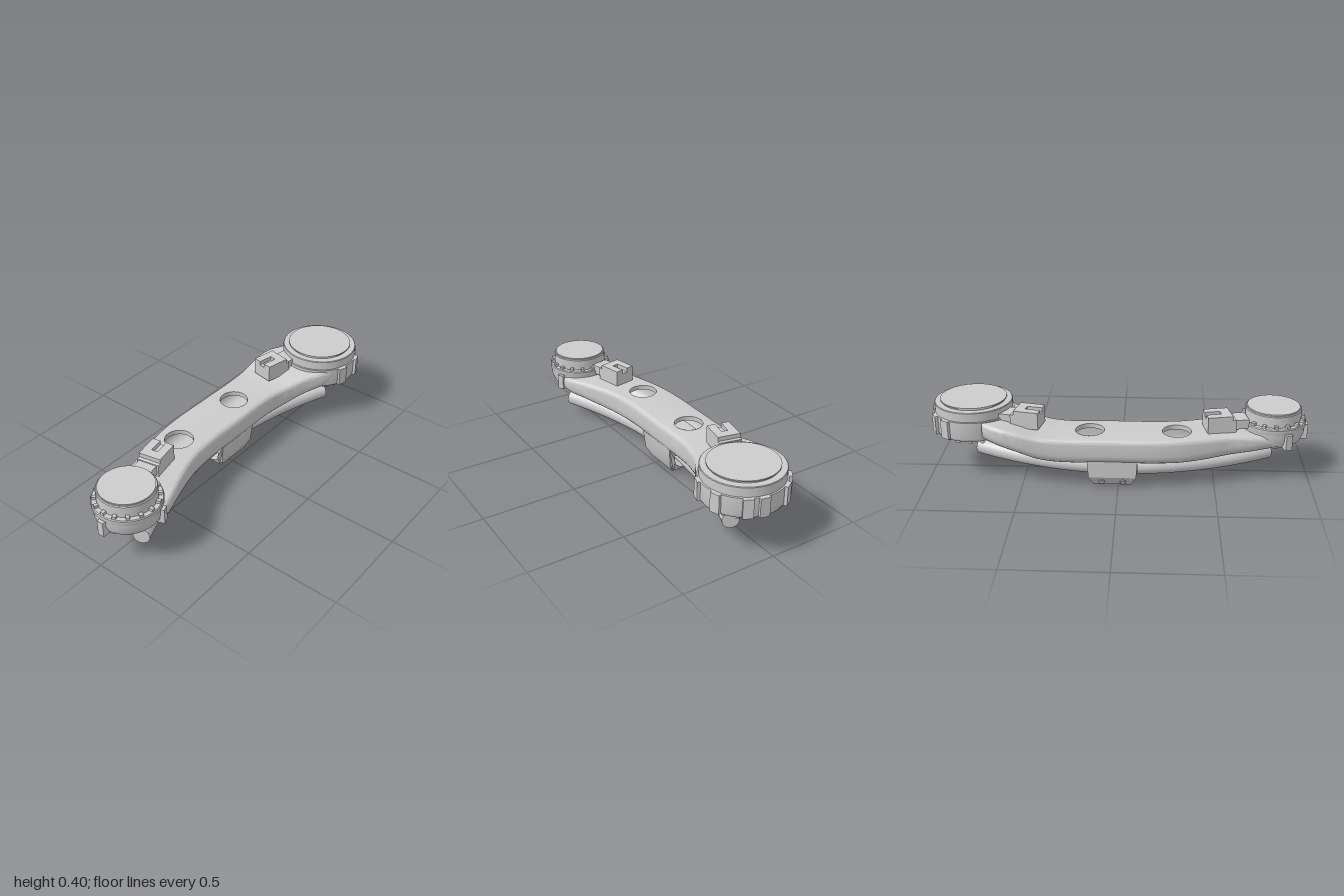
import * as THREE from 'three';
import { toCreasedNormals } from 'three/addons/utils/BufferGeometryUtils.js';

const grey = new THREE.MeshStandardMaterial({ color: 0xcccccc, side: THREE.DoubleSide });

function add(parent, name, geometry, x = 0, y = 0, z = 0) {
  const mesh = new THREE.Mesh(geometry, grey);
  mesh.name = name;
  mesh.position.set(x, y, z);
  parent.add(mesh);
  return mesh;
}

// Beam stations along z: left x, right x, bottom y, top y
const stations = [
  [-0.70, -0.19, 0.215, 0.235, 0.335],
  [-0.62, -0.235, 0.175, 0.22, 0.33],
  [-0.52, -0.25, 0.11, 0.19, 0.312],
  [-0.42, -0.25, 0.06, 0.155, 0.288],
  [-0.32, -0.25, 0.032, 0.14, 0.28],
  [-0.05, -0.25, 0.028, 0.14, 0.28],
  [0.18, -0.25, 0.028, 0.14, 0.28],
  [0.32, -0.235, 0.04, 0.14, 0.28],
  [0.45, -0.205, 0.075, 0.148, 0.28],
  [0.58, -0.172, 0.125, 0.162, 0.278],
  [0.70, -0.155, 0.17, 0.175, 0.272],
  [0.80, -0.14, 0.175, 0.19, 0.265],
];
const profile = new THREE.CubicInterpolant(stations.map((s) => s[0]), stations.flatMap((s) => s.slice(1)), 4);

// Openings in the hollow beam: centre z, half length, half width
const topHoles = [[-0.15, 0.075, 0.075], [0.3, 0.075, 0.075]];
const bottomHoles = [[-0.5, 0.09, 0.07], [0.42, 0.17, 0.075]];

function halfWidth(holes, z) {
  for (const [c, len, w] of holes) {
    const t = (z - c) / len;
    if (Math.abs(t) < 1) return w * Math.sqrt(1 - t ** (len > w * 1.1 ? 4 : 2));
  }
  return 0;
}

function beamGeometry() {
  const rows = [];
  for (let i = 0; i <= 60; i++) rows.push(-0.7 + (1.5 * i) / 60);
  for (const [c, len] of [...topHoles, ...bottomHoles]) {
    for (let i = 0; i <= 20; i++) rows.push(c - len * Math.cos((Math.PI * i) / 20));
  }
  rows.sort((a, b) => a - b);
  const zs = rows.filter((z, i) => i === 0 || z - rows[i - 1] > 1e-5);

  const rings = zs.map((z) => {
    const [l, r, b, t] = [...profile.evaluate(z)];
    const top = halfWidth(topHoles, z), low = halfWidth(bottomHoles, z), mid = (l + r) / 2;
    const ring = [[-0.11 - top, t], [-0.11 + top, t]];
    const arc = (cx, cy, rad, start) => {
      for (let i = 0; i <= 6; i++) {
        const a = start - (i / 6) * Math.PI / 2;
        ring.push([cx + rad * Math.cos(a), cy + rad * Math.sin(a)]);
      }
    };
    const rt = 0.025, rb = 0.055;
    arc(r - rt, t - rt, rt, Math.PI / 2);
    arc(r - rb, b + rb, rb, 0);
    ring.push([mid + low, b], [mid - low, b]);
    arc(l + rb, b + rb, rb, -Math.PI / 2);
    arc(l + rt, t - rt, rt, Math.PI);
    return ring;
  });

  const n = rings[0].length, pos = [], index = [];
  rings.forEach((ring, i) => ring.forEach(([x, y]) => pos.push(x, y, zs[i])));
  for (let i = 0; i < zs.length - 1; i++) {
    const zm = (zs[i] + zs[i + 1]) / 2;
    for (let j = 0; j < n; j++) {
      if (j === 0 && halfWidth(topHoles, zm)) continue;
      if (j === 16 && halfWidth(bottomHoles, zm)) continue;
      const k = (j + 1) % n, a = i * n + j, b = i * n + k;
      index.push(a, a + n, b, b, a + n, b + n);
    }
  }
  const g = new THREE.BufferGeometry();
  g.setAttribute('position', new THREE.Float32BufferAttribute(pos, 3));
  g.setIndex(index);
  return toCreasedNormals(g, 0.7);
}

function lathe(points) {
  return toCreasedNormals(new THREE.LatheGeometry(points.map((p) => new THREE.Vector2(...p)), 64), 0.5);
}

// Places boxes or bolts around a joint; angle 0 is +z, turning toward +x
function around(parent, name, geometry, angles, radius, y) {
  for (const a of angles) {
    add(parent, name, geometry, Math.sin(a) * radius, y, Math.cos(a) * radius).rotation.y = a;
  }
}
const spread = (n) => Array.from({ length: n }, (_, i) => (i / n) * Math.PI * 2);

function connector(name, x, y, z, turn) {
  const g = new THREE.Group();
  g.name = name;
  g.position.set(x, y, z);
  g.rotation.y = turn;
  add(g, 'connectorBase', new THREE.BoxGeometry(0.12, 0.07, 0.15), 0, 0.015, 0);
  add(g, 'connectorNeck', new THREE.BoxGeometry(0.1, 0.05, 0.09), 0, 0.02, 0.1);
  for (const s of [-1, 1]) add(g, 'connectorCheek', new THREE.BoxGeometry(0.043, 0.025, 0.08), s * 0.0385, 0.06, -0.035);
  add(g, 'connectorBack', new THREE.BoxGeometry(0.12, 0.025, 0.05), 0, 0.06, 0.03);
  return g;
}

// Cradle under the beam, with a round-bottomed passage for the tube
function clampGeometry() {
  const s = new THREE.Shape();
  [[-0.235, 0.16], [-0.235, 0.065], [-0.2, 0.01], [-0.185, 0.002], [-0.035, 0.002], [-0.02, 0.01],
    [0.005, 0.06], [0.015, 0.16]].forEach(([x, y], i) => (i ? s.lineTo(x, y) : s.moveTo(x, y)));
  const h = new THREE.Path();
  h.moveTo(-0.2, 0.113);
  h.bezierCurveTo(-0.2, 0.05, -0.16, 0.012, -0.11, 0.012);
  h.bezierCurveTo(-0.06, 0.012, -0.018, 0.05, -0.018, 0.113);
  h.closePath();
  s.holes.push(h);
  const g = new THREE.ExtrudeGeometry(s, { depth: 0.26, bevelEnabled: false, curveSegments: 16 });
  g.translate(0, 0, -0.13);
  // Narrow the lower part along z
  const p = g.attributes.position;
  for (let i = 0; i < p.count; i++) {
    const t = Math.min(1, Math.max(0, p.getY(i) / 0.08));
    p.setZ(i, p.getZ(i) * (0.72 + 0.28 * t) - 0.03);
  }
  return toCreasedNormals(g, 0.5);
}

export function createModel() {
  const model = new THREE.Group();
  model.name = 'jointedLink';

  // Hollow beam with rimmed holes
  add(model, 'beam', beamGeometry());
  for (const [z] of topHoles) {
    add(model, 'holeRim', new THREE.CylinderGeometry(0.075, 0.075, 0.025, 40, 1, true), -0.11, 0.2675, z);
  }

  // Front joint
  const front = new THREE.Group();
  front.name = 'frontJoint';
  front.position.set(0.018, 0, 0.805);
  model.add(front);
  add(front, 'frontCup', lathe([[0, 0.178], [0.09, 0.18], [0.125, 0.19], [0.152, 0.212], [0.165, 0.245], [0.167, 0.285]]));
  add(front, 'frontFlange', lathe([[0, 0.283], [0.17, 0.283], [0.172, 0.288], [0.172, 0.308], [0.168, 0.313], [0, 0.313]]));
  add(front, 'frontCap', lathe([[0.146, 0.31], [0.146, 0.372], [0.142, 0.376], [0.137, 0.376], [0.137, 0.383], [0, 0.383]]));
  around(front, 'frontTooth', new THREE.BoxGeometry(0.018, 0.016, 0.024), spread(16), 0.155, 0.32);
  around(front, 'frontLug', new THREE.BoxGeometry(0.036, 0.082, 0.04), [0, 1.98, -1.18], 0.165, 0.241);
  add(front, 'frontFoot', new THREE.CylinderGeometry(0.018, 0.018, 0.025, 16), 0, 0.178, 0.105);

  // Rear joint
  const rear = new THREE.Group();
  rear.name = 'rearJoint';
  rear.position.set(0.02, 0, -0.775);
  model.add(rear);
  add(rear, 'rearHousing', lathe([[0, 0.235], [0.135, 0.235], [0.135, 0.225], [0.185, 0.225], [0.205, 0.232],
    [0.212, 0.245], [0.212, 0.338], [0.205, 0.34], [0.205, 0.388], [0.202, 0.391], [0, 0.391]]));
  add(rear, 'rearCapDisc', lathe([[0.168, 0.39], [0.168, 0.397], [0.174, 0.399], [0.174, 0.405], [0, 0.405]]));
  add(rear, 'rearBottomPlate', new THREE.CylinderGeometry(0.128, 0.122, 0.015, 48), 0, 0.228, 0);
  add(rear, 'rearPlateStud', new THREE.CylinderGeometry(0.016, 0.016, 0.015, 16), 0.05, 0.217, -0.06);
  around(rear, 'rearBolt', new THREE.CylinderGeometry(0.011, 0.011, 0.025, 12), spread(16), 0.165, 0.217);
  around(rear, 'rearLug', new THREE.BoxGeometry(0.05, 0.1, 0.03), [1.25, 1.9, 2.6, 2.95, -2.15, -2.6], 0.211, 0.289);

  // Cable connectors beside each joint
  model.add(connector('frontConnector', -0.065, 0.295, 0.52, 0.2));
  model.add(connector('rearConnector', -0.095, 0.318, -0.475, Math.PI - 0.2));

  // Bowed tube below the beam
  const path = new THREE.QuadraticBezierCurve3(
    new THREE.Vector3(0.082, 0.09, 0.8), new THREE.Vector3(-0.29, 0.053, 0.02), new THREE.Vector3(0.07, 0.092, -0.765));
  add(model, 'tube', new THREE.TubeGeometry(path, 48, 0.043, 32));
  const endDisc = new THREE.CircleGeometry(0.043, 32);
  for (const t of [0, 1]) {
    const p = path.getPoint(t), d = path.getTangent(t).multiplyScalar(t ? 1 : -1);
    add(model, 'tubeEnd', endDisc, p.x, p.y, p.z).lookAt(p.clone().add(d));
  }

  // Clamp with its side bolts and inner screws
  add(model, 'clamp', clampGeometry());
  for (const z of [0.025, -0.085]) {
    const bolt = add(model, 'clampBolt', new THREE.CylinderGeometry(0.016, 0.016, 0.03, 20), -0.208, 0.038, z);
    bolt.rotation.z = Math.PI / 2 + 0.5;
    add(model, 'clampScrew', new THREE.CylinderGeometry(0.013, 0.013, 0.03, 6), -0.18, 0.1, z);
  }
  return model;
}
